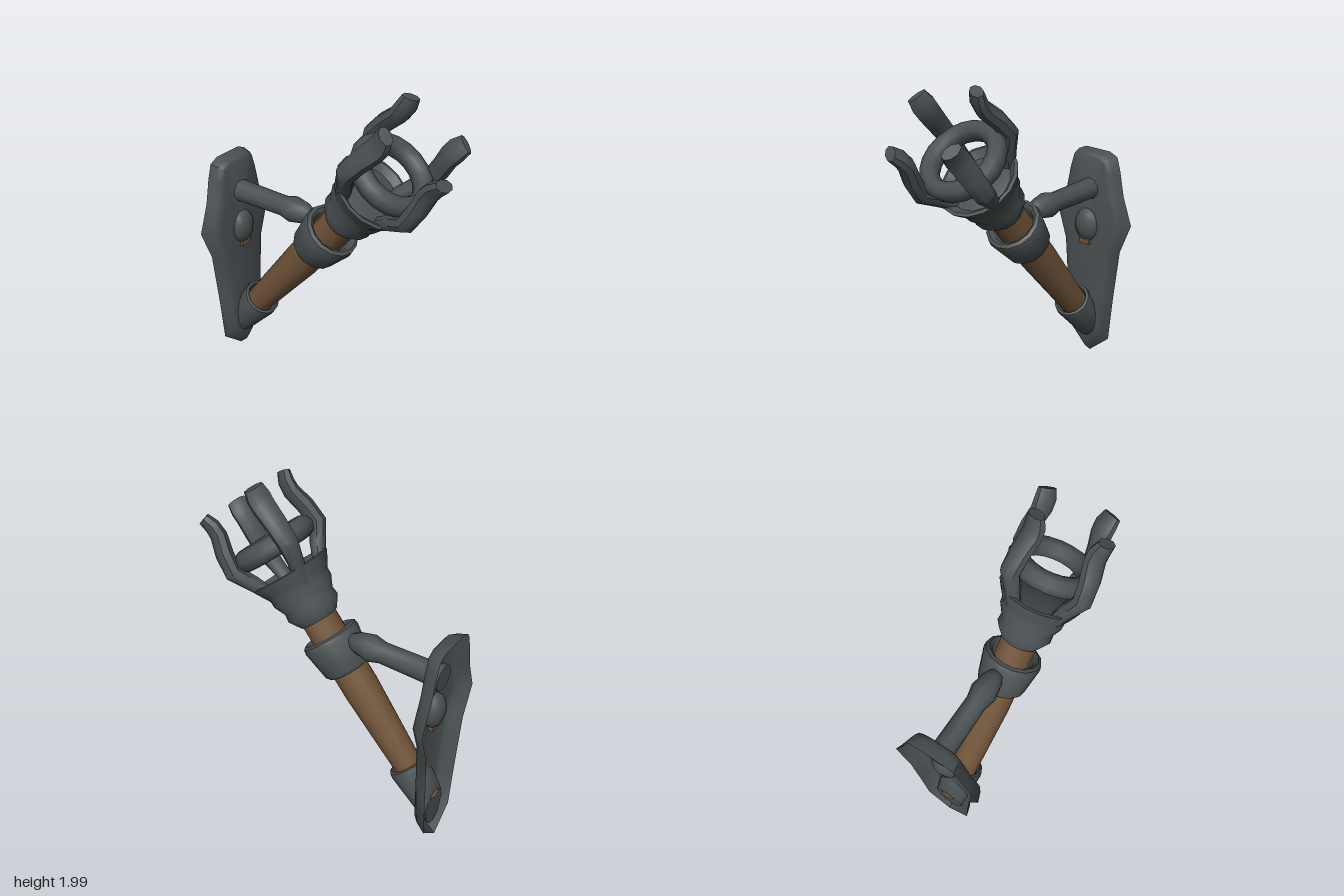
import * as THREE from 'three';
import { toCreasedNormals } from 'three/addons/utils/BufferGeometryUtils.js';

const iron = new THREE.MeshStandardMaterial({ color: 0x4a5052, side: THREE.DoubleSide });
iron.name = 'dark iron';
const wood = new THREE.MeshStandardMaterial({ color: 0x6e5238 });
wood.name = 'brown wood';

const TILT = 0.681; // lean of the torch away from the wall
const CENTRE = new THREE.Vector3(0, 1.063, -0.069); // middle of the collar

function add(parent, name, geometry, material) {
  const mesh = new THREE.Mesh(geometry, material);
  mesh.name = name;
  parent.add(mesh);
  return mesh;
}

// Turned part from [radius, height] pairs
function lathe(profile, sides = 14, crease = 0.8) {
  const g = new THREE.LatheGeometry(profile.map(p => new THREE.Vector2(...p)), sides);
  return toCreasedNormals(g, crease);
}

// Skin over rings of points, counter-clockwise about the direction of travel
function loft(rings, capStart, capEnd, crease = 0.8) {
  const n = rings[0].length, pos = [], idx = [];
  rings.forEach(r => r.forEach(p => pos.push(...p)));
  for (let i = 0; i < rings.length - 1; i++) {
    for (let j = 0; j < n; j++) {
      const a = i * n + j, b = i * n + (j + 1) % n;
      idx.push(a, b, b + n, a, b + n, a + n);
    }
  }
  const cap = (ring, base, flip) => {
    const c = pos.length / 3;
    pos.push(...[0, 1, 2].map(k => ring.reduce((s, p) => s + p[k], 0) / n));
    for (let j = 0; j < n; j++) {
      const a = base + j, b = base + (j + 1) % n;
      idx.push(...(flip ? [b, a, c] : [a, b, c]));
    }
  };
  if (capStart) cap(rings[0], 0, true);
  if (capEnd) cap(rings[rings.length - 1], (rings.length - 1) * n, false);
  const g = new THREE.BufferGeometry();
  g.setAttribute('position', new THREE.Float32BufferAttribute(pos, 3));
  g.setIndex(idx);
  return toCreasedNormals(g, crease);
}

// Hollow wall plate with a bevelled front
function plateGeometry() {
  const half = [[0.145, 0.14], [0.168, 0.45], [0.2, 0.78], [0.272, 0.975], [0.205, 1.15],
    [0.172, 1.3], [0.145, 1.385], [0.09, 1.41]];
  const outline = [[0, 0.005], ...half, ...half.map(([x, y]) => [-x, y]).reverse()];
  const steps = [[1, 1, -0.77], [0.92, 0.945, -0.715], [0.84, 0.9, -0.69], [0.7, 0.85, -0.682]];
  const rings = steps.map(([sx, sy, z]) =>
    outline.map(([x, y]) => [x * sx, 1 + (y - 1) * (y > 1 ? (1 + sy) / 2 : sy), z]));
  return loft(rings, false, true);
}

// Lower socket, cut off flush with the wall plate
function socketGeometry() {
  const g = new THREE.LatheGeometry([[0, -1.3], [0.085, -1.3], [0.093, -1.086], [0.12, -0.8],
    [0.116, -0.77], [0.1, -0.765], [0.087, -0.8], [0.08, -0.86]].map(p => new THREE.Vector2(...p)), 14);
  const p = g.attributes.position;
  for (let i = 0; i < p.count; i++) {
    const z = CENTRE.z + p.getY(i) * Math.sin(TILT) + p.getZ(i) * Math.cos(TILT);
    if (z < -0.745) p.setY(i, p.getY(i) + (-0.745 - z) / Math.sin(TILT));
  }
  return toCreasedNormals(g, 0.8);
}

// Bent prong: path points with radial and sideways half-thickness
function prongGeometry() {
  const path = [[0.15, 0.44, 0.035, 0.04], [0.215, 0.57, 0.045, 0.046], [0.275, 0.67, 0.05, 0.058],
    [0.262, 0.78, 0.05, 0.062], [0.235, 0.88, 0.046, 0.066], [0.238, 0.94, 0.042, 0.068],
    [0.256, 0.995, 0.034, 0.055]];
  const rings = path.map(([x, y, rr, rt], i) => {
    const a = path[Math.max(i - 1, 0)], b = path[Math.min(i + 1, path.length - 1)];
    const len = Math.hypot(b[0] - a[0], b[1] - a[1]);
    const tx = (b[0] - a[0]) / len, ty = (b[1] - a[1]) / len;
    return Array.from({ length: 8 }, (_, k) => {
      const t = (k + 0.5) * Math.PI / 4, c = Math.cos(t) * rr;
      return [x - ty * c, y + tx * c, Math.sin(t) * rt];
    });
  });
  return loft(rings, true, true);
}

export function createModel() {
  const model = new THREE.Group();
  model.name = 'wallTorch';

  // Wall mount
  add(model, 'wallPlate', plateGeometry(), iron);
  const arm = add(model, 'supportArm', lathe([[0, -0.73], [0.075, -0.73], [0.064, -0.65], [0.06, -0.36],
    [0.077, -0.29], [0.06, -0.2], [0.035, -0.15], [0, -0.13]], 10), iron);
  arm.rotation.x = Math.PI / 2;
  arm.position.set(0.008, 1.18, 0);

  // Boss on the plate with a wooden peg below
  const dome = new THREE.SphereGeometry(1, 12, 8);
  dome.scale(0.085, 0.11, 0.06);
  const boss = add(model, 'plateBoss', dome, iron);
  boss.position.set(0, 0.94, -0.69);
  const peg = add(model, 'bossPeg', new THREE.BoxGeometry(0.07, 0.05, 0.05), wood);
  peg.position.set(0, 0.84, -0.685);

  // Leaning torch, built upright in its own frame
  const torch = new THREE.Group();
  torch.name = 'torch';
  torch.position.copy(CENTRE);
  torch.rotation.x = TILT;
  model.add(torch);

  add(torch, 'shaft', lathe([[0, -1], [0.08, -1], [0.086, -0.75], [0.108, -0.25], [0.105, 0.3]], 12), wood);
  add(torch, 'lowerSocket', socketGeometry(), iron);
  add(torch, 'collar', lathe([[0.1, -0.1], [0.128, -0.115], [0.143, -0.095], [0.17, 0.075], [0.165, 0.105],
    [0.145, 0.115], [0.125, 0.1], [0.115, 0.04], [0.1, 0]]), iron);

  // Flared cup with stepped bands and a shallow floor
  add(torch, 'cup', lathe([[0.09, 0.215], [0.115, 0.215], [0.158, 0.28], [0.152, 0.325], [0.182, 0.39],
    [0.183, 0.43], [0.205, 0.465], [0.234, 0.525], [0.215, 0.53], [0.175, 0.495], [0.16, 0.5], [0, 0.515]], 16), iron);

  // Ring held by four prongs
  const torus = new THREE.TorusGeometry(0.195, 0.052, 8, 20);
  torus.rotateX(Math.PI / 2);
  torus.scale(1, 1.15, 1);
  const ring = add(torch, 'basketRing', torus, iron);
  ring.position.y = 0.69;
  const prong = prongGeometry();
  for (let i = 0; i < 4; i++) {
    add(torch, 'prong' + (i + 1), prong, iron).rotation.y = -0.5 + i * Math.PI / 2;
  }
  return model;
}
